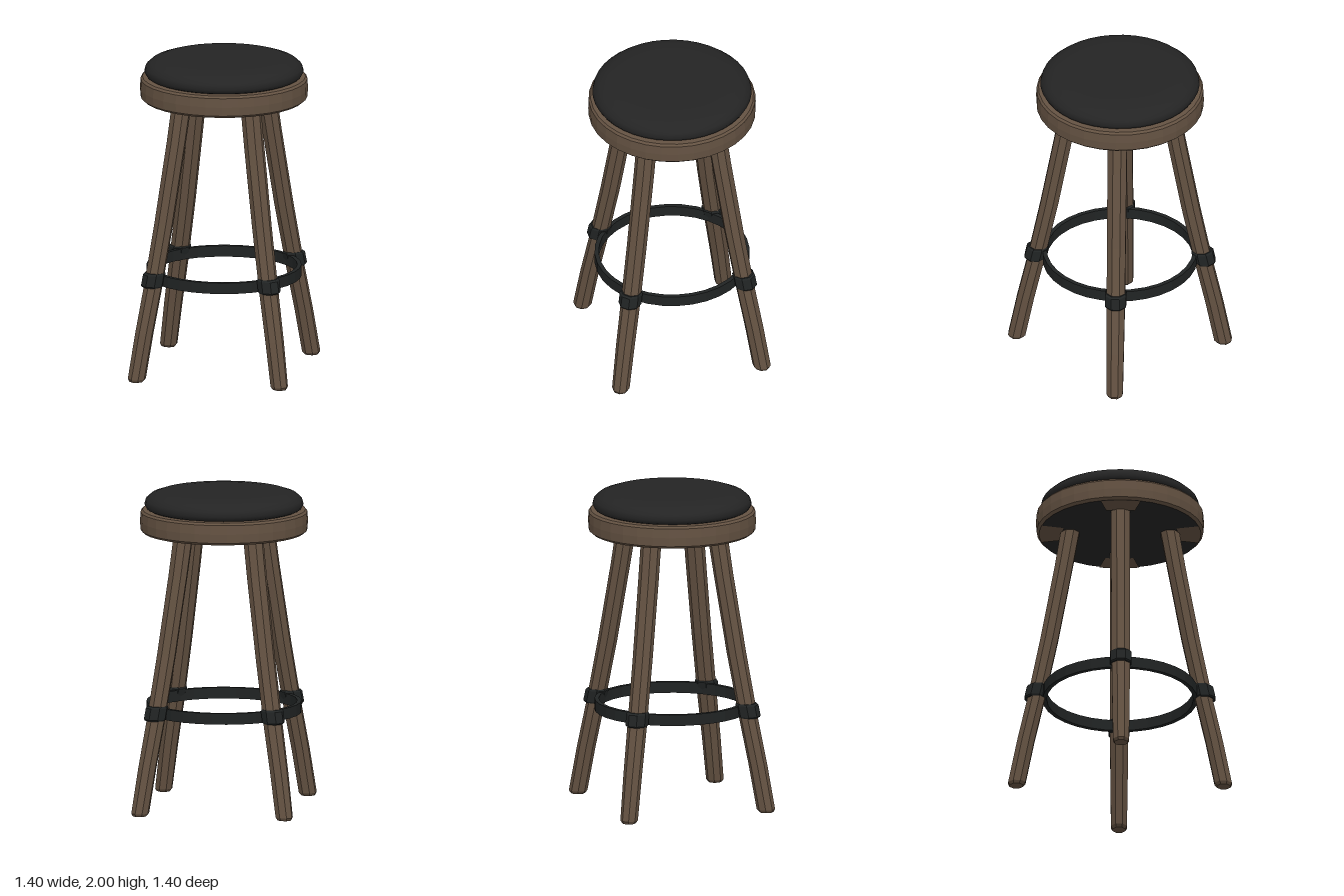
import * as THREE from 'three';

const wood = new THREE.MeshStandardMaterial({ color: 0x645242, flatShading: true });
wood.name = 'wood';
const leather = new THREE.MeshStandardMaterial({ color: 0x242424 });
leather.name = 'black leather';
const metal = new THREE.MeshStandardMaterial({ color: 0x212424, flatShading: true });
metal.name = 'dark metal';

function add(parent, name, geometry, material) {
  const mesh = new THREE.Mesh(geometry, material);
  mesh.name = name;
  parent.add(mesh);
  return mesh;
}

function lathe(points, segments) {
  return new THREE.LatheGeometry(points.map(([r, y]) => new THREE.Vector2(r, y)), segments);
}

// Eight-sided post through levels of [y, centre x, half depth, half width]
function post(levels) {
  const last = levels.length - 1;
  const g = new THREE.CylinderGeometry(1, 1, 1, 8, last);
  g.rotateY(Math.PI / 8);
  const p = g.attributes.position;
  const k = 1 / Math.cos(Math.PI / 8);
  for (let i = 0; i < p.count; i++) {
    const [y, cx, hx, hz] = levels[Math.round((p.getY(i) + 0.5) * last)];
    p.setXYZ(i, cx + p.getX(i) * k * hx, y, p.getZ(i) * k * hz);
  }
  g.computeVertexNormals();
  return g;
}

export function createModel() {
  const stool = new THREE.Group();
  stool.name = 'stool';

  // Seat: wooden rim, padded cushion and dark underside
  add(stool, 'seatRim', lathe([
    [0.505, 1.74], [0.522, 1.755], [0.525, 1.81], [0.522, 1.868], [0.51, 1.882], [0.44, 1.885],
  ], 32), wood);
  add(stool, 'cushion', lathe([
    [0.46, 1.88], [0.485, 1.892], [0.498, 1.915], [0.49, 1.945], [0.46, 1.972],
    [0.41, 1.989], [0.33, 1.997], [0.2, 2], [0, 2],
  ], 40), leather);
  const under = add(stool, 'seatUnderside', new THREE.CircleGeometry(0.506, 32), leather);
  under.rotation.x = Math.PI / 2;
  under.position.y = 1.741;

  // Four splayed legs, each with a mounting patch and a metal collar
  const legGeometry = post([
    [0, 0.648, 0.042, 0.04], [0.018, 0.645, 0.054, 0.05], [0.3, 0.59, 0.054, 0.054],
    [0.58, 0.528, 0.054, 0.057], [1.0, 0.443, 0.056, 0.058], [1.5, 0.353, 0.056, 0.06],
    [1.75, 0.312, 0.058, 0.06],
  ]);
  const collarGeometry = post([
    [0.596, 0.532, 0.058, 0.06], [0.605, 0.53, 0.067, 0.066],
    [0.675, 0.515, 0.067, 0.066], [0.686, 0.512, 0.058, 0.06],
  ]);
  const patchGeometry = new THREE.RingGeometry(0.36, 0.506, 6, 1, -0.25, 0.5);
  for (let i = 0; i < 4; i++) {
    const unit = new THREE.Group();
    unit.name = 'legUnit' + (i + 1);
    unit.rotation.y = i * Math.PI / 2;
    add(unit, 'leg', legGeometry, wood);
    add(unit, 'legCollar', collarGeometry, metal);
    const patch = add(unit, 'mountingPatch', patchGeometry, wood);
    patch.rotation.x = Math.PI / 2;
    patch.position.y = 1.737;
    stool.add(unit);
  }

  // Flat hoop used as a footrest
  add(stool, 'footRing', lathe([
    [0.458, 0.598], [0.485, 0.598], [0.485, 0.668], [0.458, 0.668], [0.458, 0.598],
  ], 32), metal);

  return stool;
}
